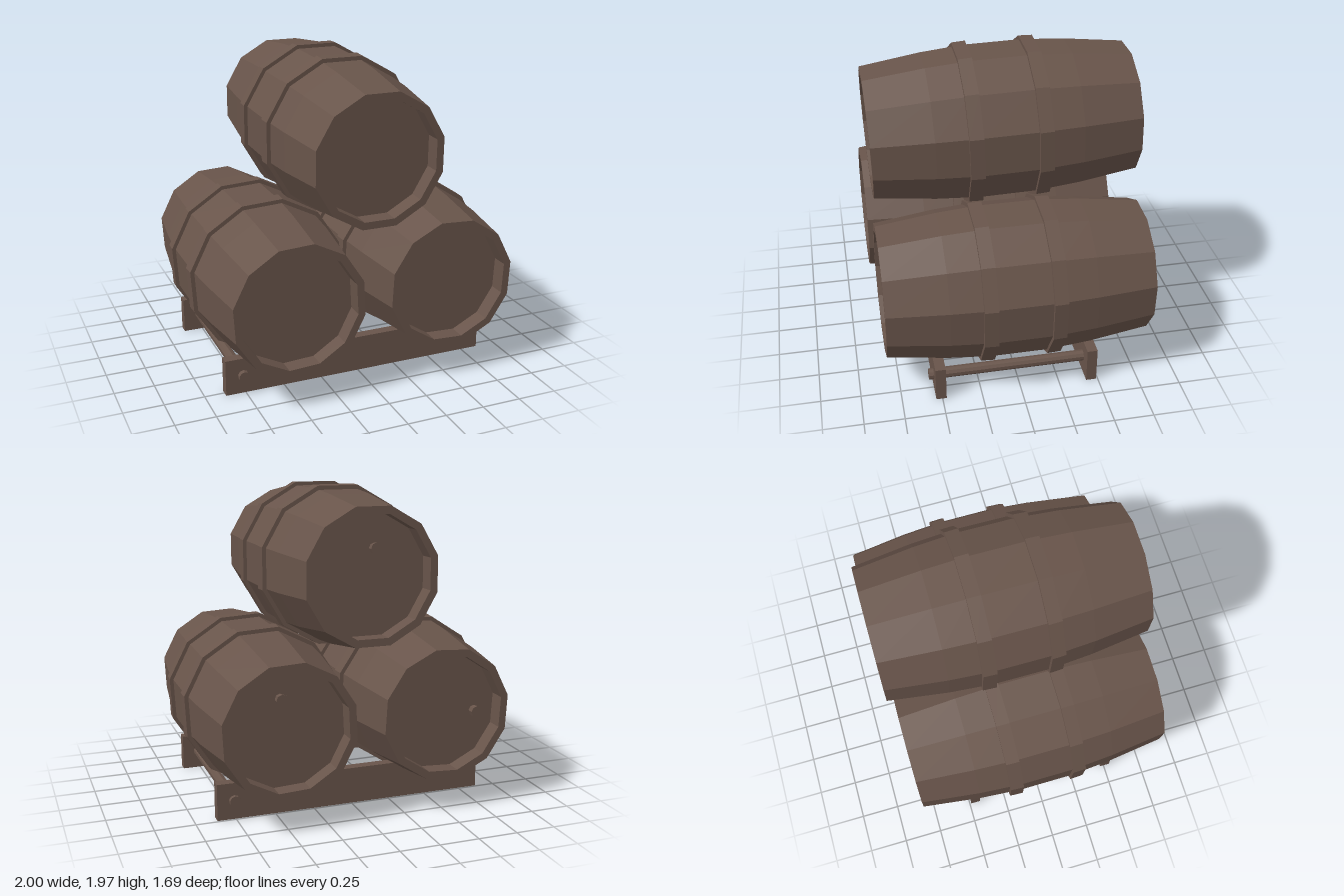
import * as THREE from 'three';

const SIDES = 12;

// Lathe around the z axis, with flat sides facing up, down, left and right
function latheZ(points) {
  const geo = new THREE.LatheGeometry(
    points.map(([r, z]) => new THREE.Vector2(r, z)), SIDES, Math.PI / SIDES);
  return geo.rotateX(Math.PI / 2);
}

export function createModel() {
  const model = new THREE.Group();
  model.name = 'barrelStack';
  const wood = new THREE.MeshStandardMaterial({ color: 0x68544a, flatShading: true });
  wood.name = 'brown wood';

  function add(parent, name, geo, x = 0, y = 0, z = 0) {
    const mesh = new THREE.Mesh(geo, wood);
    mesh.name = name;
    mesh.position.set(x, y, z);
    parent.add(mesh);
    return mesh;
  }

  // Bulging body with a deeply sunken head at each end
  const half = [[0.487, 0.17], [0.483, 0.23], [0.466, 0.45], [0.417, 0.826], [0.37, 0.826], [0.37, 0.72], [0, 0.72]];
  const bodyGeo = latheZ([...half.map(([r, z]) => [r, -z]).reverse(), ...half]);

  // Hoop, a little narrower on its outer edge
  const hoopGeo = latheZ([[0.465, -0.043], [0.511, -0.043], [0.507, 0.043], [0.465, 0.043]]);

  // Bung in the back head
  const bungGeo = new THREE.CylinderGeometry(0.038, 0.03, 0.06, 8).rotateX(-Math.PI / 2);

  function barrel(name, x, y, z, pitch, roll, bungX, bungY) {
    const group = new THREE.Group();
    group.name = name;
    add(group, 'barrelBody', bodyGeo);
    add(group, 'frontHoop', hoopGeo, 0, 0, 0.21);
    add(group, 'backHoop', hoopGeo, 0, 0, -0.21).rotation.y = Math.PI;
    add(group, 'bung', bungGeo, bungX, bungY, -0.74);
    group.position.set(x, y, z);
    group.rotation.set(pitch, 0, roll);
    model.add(group);
  }
  barrel('rightBarrel', -0.5, 0.621, 0.018, 0, 0.057, -0.23, -0.01);
  barrel('leftBarrel', 0.501, 0.623, -0.002, 0, -0.05, 0.025, 0.18);
  barrel('topBarrel', 0.007, 1.477, -0.01, 0.024, 0.003, -0.045, 0.155);

  // Cradle: two boards joined by two rods
  add(model, 'frontBoard', new THREE.BoxGeometry(1.74, 0.23, 0.065), -0.005, 0.115, 0.507);
  add(model, 'backBoard', new THREE.BoxGeometry(1.74, 0.23, 0.065), -0.005, 0.115, -0.457);
  for (const side of [-1, 1]) {
    const rod = new THREE.CylinderGeometry(0.035, 0.035, 1.085, 10).rotateX(Math.PI / 2);
    add(model, side < 0 ? 'rightRod' : 'leftRod', rod, -0.003 + side * 0.76, 0.118, 0.028);
  }
  return model;
}
